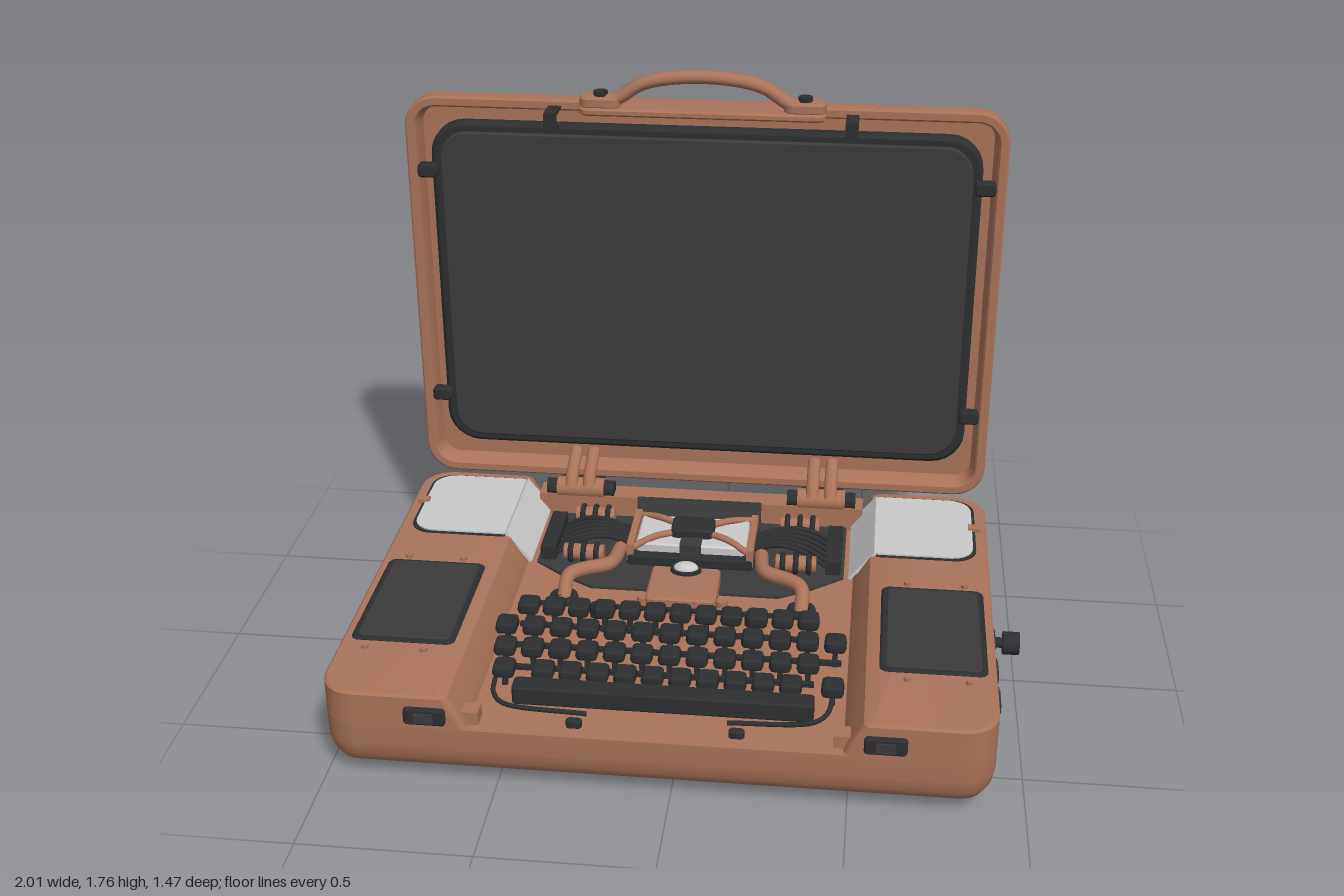
import * as THREE from 'three';
import { toCreasedNormals } from 'three/addons/utils/BufferGeometryUtils.js';

const mat = (name, color) => Object.assign(new THREE.MeshStandardMaterial({ color }), { name });
const SIDES = [-1, 1];

// Rounded rectangle ring in the xz plane; r lists the corners (+x+z, -x+z, -x-z, +x-z)
function ring(x0, x1, z0, z1, r, y) {
  const pts = [], n = 6;
  const corners = [[x1, z1, -1, -1], [x0, z1, 1, -1], [x0, z0, 1, 1], [x1, z0, -1, 1]];
  corners.forEach(([x, z, sx, sz], k) => {
    for (let i = 0; i <= n; i++) {
      const a = (k + i / n) * Math.PI / 2;
      pts.push([x + sx * r[k] + r[k] * Math.cos(a), y, z + sz * r[k] + r[k] * Math.sin(a)]);
    }
  });
  return pts;
}

// Closed solid through rings; steps are [height, inset, extra left inset, extra right inset]
function loft(x0, x1, z0, z1, r, steps) {
  const radii = Array.isArray(r) ? r : [r, r, r, r];
  const rings = steps.map(([y, d, l = 0, m = 0]) =>
    ring(x0 + d + l, x1 - d - m, z0 + d, z1 - d, radii.map(q => Math.max(q - d, 0.006)), y));
  const n = rings[0].length, pos = rings.flat(2), idx = [];
  const cx = (x0 + x1) / 2, cz = (z0 + z1) / 2, base = rings.length * n;
  pos.push(cx, steps[0][0], cz, cx, steps[steps.length - 1][0], cz);
  for (let i = 0; i < n; i++) {
    const j = (i + 1) % n;
    for (let k = 0; k < rings.length - 1; k++) {
      const p = k * n, q = p + n;
      idx.push(p + i, q + i, p + j, p + j, q + i, q + j);
    }
    idx.push(base, i, j, base + 1, base - n + j, base - n + i);
  }
  const g = new THREE.BufferGeometry();
  g.setAttribute('position', new THREE.Float32BufferAttribute(pos, 3));
  g.setIndex(idx);
  return toCreasedNormals(g, 0.6);
}

const slab = (w, d, h, r, e = 0.006) =>
  loft(-w / 2, w / 2, -d / 2, d / 2, r, [[-h / 2, e], [-h / 2 + e, 0], [h / 2 - e, 0], [h / 2, e]]);
const box = (w, h, d) => new THREE.BoxGeometry(w, h, d);
const cyl = (r, h, n = 24) => new THREE.CylinderGeometry(r, r, h, n);
const tube = (pts, r, n = 20) => new THREE.TubeGeometry(
  new THREE.CatmullRomCurve3(pts.map(p => new THREE.Vector3(...p))), n, r, 10);
function plan(pts, h) { // flat outline (x, z) raised by h
  const s = new THREE.Shape(pts.map(([x, z]) => new THREE.Vector2(x, -z)));
  return new THREE.ExtrudeGeometry(s, { depth: h, bevelEnabled: false }).rotateX(-Math.PI / 2);
}

export function createModel() {
  const root = new THREE.Group(), g = new THREE.Group();
  root.name = 'suitcaseTypewriter';
  g.name = 'machine';
  g.position.x = -0.045;
  root.add(g);
  const copper = mat('copper', 0xaa735a), dark = mat('charcoal', 0x3b3b3b);
  const black = mat('black', 0x2c2e30), silver = mat('silver', 0xc9c9c9);
  const H = Math.PI / 2;
  const add = (name, geo, m, x = 0, y = 0, z = 0, rx = 0, ry = 0, rz = 0) => {
    const mesh = new THREE.Mesh(geo, m);
    mesh.name = name;
    mesh.position.set(x, y, z);
    mesh.rotation.set(rx, ry, rz);
    g.add(mesh);
    return mesh;
  };

  // Case base: rounded tub with raised side decks
  add('baseTub', loft(-0.955, 0.955, -0.625, 0.71, 0.1,
    [[0.03, 0.09], [0.037, 0.06], [0.058, 0.028], [0.09, 0.008], [0.13, 0], [0.2, 0]]), copper);
  add('rearWall', box(1.1, 0.08, 0.08), copper, 0, 0.24, -0.585);
  for (const s of SIDES) {
    const out = 0.1, inn = 0.02;
    const r = s > 0 ? [out, inn, inn, out] : [inn, out, out, inn];
    const step = (y, d, k) => s > 0 ? [y, d, k, 0] : [y, d, 0, k];
    add('sideDeck', loft(s > 0 ? 0.53 : -0.955, s > 0 ? 0.955 : -0.53, -0.625, 0.71, r,
      [step(0.2, 0, 0), step(0.23, 0, 0.012), step(0.27, 0, 0.035), step(0.298, 0, 0.052), step(0.305, 0.007, 0.065)]), copper);

    // Silver rear covers that fold down toward the bay
    const cr = s > 0 ? [0.07, 0.006, 0.006, 0.07] : [0.006, 0.07, 0.07, 0.006];
    const cover = (a, b, z0, z1, y, h) => loft(Math.min(s * a, s * b), Math.max(s * a, s * b), z0, z1, cr, [[y, 0], [y + h, 0]]);
    add('coverSeam', cover(0.6, 0.918, -0.59, -0.195, 0.302, 0.006), black);
    add('coverTop', cover(0.6, 0.908, -0.58, -0.205, 0.305, 0.008), silver);
    add('coverSlope', box(0.128, 0.01, 0.375), silver, s * 0.558, 0.262, -0.3925, 0, 0, s * 0.9);
    add('coverLatch', box(0.04, 0.014, 0.03), copper, s * 0.915, 0.312, -0.4);

    // Deck pads with bolts
    add('padFrame', slab(0.31, 0.46, 0.014, 0.025), black, s * 0.775, 0.305, 0.215);
    add('pad', slab(0.28, 0.43, 0.012, 0.02), dark, s * 0.775, 0.311, 0.215);
    for (const u of [0.7, 0.875]) for (const z of [-0.04, 0.48])
      add('deckBolt', cyl(0.011, 0.012, 10), copper, s * u, 0.309, z);

    // Front latches, side screws, rear vents
    add('frontLatch', slab(0.12, 0.055, 0.024, 0.012), black, s * 0.645, 0.243, 0.712, H);
    add('latchButton', box(0.055, 0.03, 0.012), dark, s * 0.645, 0.243, 0.724);
    add('trayBracket', box(0.06, 0.05, 0.05), copper, s * 0.53, 0.215, 0.655);
    add('sideScrew', cyl(0.025, 0.016), black, s * 0.956, 0.185, -0.4, 0, 0, H);
    for (let i = 0; i < 5; i++)
      add('vent', box(0.016, 0.12, 0.008), black, s * (0.64 + i * 0.045), 0.185, -0.624);

    // Angled corner feet
    for (const t of SIDES) {
      const cz = t > 0 ? 0.6 : -0.43;
      const foot = [[0.83, 0], [0.83, 0.14], [0.78, 0.14], [0.78, 0.05], [0.69, 0.05], [0.69, 0]];
      const pts = foot.map(([x, z]) => [s * x, cz - t * z]);
      add('foot', plan(pts, 0.034), black);
      add('footScrew', cyl(0.016, 0.01, 12), black, s * 0.68, 0.028, cz - t * 0.15);
    }

    // Hinges
    const hx = s * 0.41;
    add('hingeBarrel', cyl(0.035, 0.16), copper, hx, 0.295, -0.575, 0, 0, H);
    add('hingePin', cyl(0.028, 0.23), black, hx, 0.295, -0.575, 0, 0, H);
    add('hingeLeaf', box(0.15, 0.03, 0.09), copper, hx, 0.277, -0.595);
    add('hingeBackPlate', box(0.1, 0.09, 0.02), copper, hx, 0.235, -0.632);
    add('hingeBackRod', cyl(0.022, 0.14), black, hx, 0.3, -0.635, 0, 0, H);
    for (const d of [-0.03, 0.03])
      add('hingeStrap', tube([[0, 0.31, -0.55], [0, 0.345, -0.575], [0, 0.365, -0.62], [0, 0.39, -0.675]], 0.018).scale(1.2, 1, 1), copper, hx + d);
  }

  // Lid shell, lying flat then turned upright (open toward the front)
  add('lidShell', loft(-0.95, 0.95, -1.64, -0.315, 0.1,
    [[-0.73, 0.06], [-0.724, 0.035], [-0.706, 0.012], [-0.68, 0.002], [-0.66, 0], [-0.622, 0],
      [-0.617, 0.006], [-0.617, 0.028], [-0.623, 0.034], [-0.68, 0.045]]).rotateX(H), copper);
  add('screenBezel', slab(1.75, 1.13, 0.05, 0.11, 0.012), black, 0, 0.99, -0.658, H);
  add('screen', slab(1.69, 1.07, 0.02, 0.09), dark, 0, 0.99, -0.633, H);
  for (const s of SIDES) {
    for (const y of [0.605, 1.395]) add('screenClip', slab(0.065, 0.045, 0.04, 0.012), black, s * 0.885, y, -0.63, H);
    add('topClip', box(0.04, 0.05, 0.008), black, s * 0.465, 1.595, -0.53);
    add('topClipArm', box(0.04, 0.008, 0.1), black, s * 0.465, 1.618, -0.575);
    add('topClipToe', box(0.04, 0.008, 0.045), black, s * 0.465, 1.572, -0.55);
  }
  add('discRing', cyl(0.175, 0.006, 48), copper, 0.005, 1.117, -0.731, H);
  add('backDisc', cyl(0.165, 0.014, 48), silver, 0.005, 1.117, -0.732, H);

  // Carry handle
  add('handlePlate', slab(0.76, 0.1, 0.024, 0.03), copper, 0.005, 1.632, -0.57);
  add('handleGrip', tube([[-0.35, 1.657, 0], [-0.27, 1.665, 0], [-0.18, 1.718, 0], [0, 1.742, 0],
    [0.18, 1.718, 0], [0.27, 1.665, 0], [0.35, 1.657, 0]], 0.021, 40).scale(1, 1, 1.35), copper, 0.005, 0, -0.565);
  for (const s of SIDES) {
    add('handleFoot', slab(0.13, 0.075, 0.035, 0.03), copper, 0.005 + s * 0.315, 1.658, -0.565);
    add('handleBolt', cyl(0.022, 0.016), black, 0.005 + s * 0.315, 1.682, -0.565);
  }

  // Right-hand socket panel and plug
  add('socketPanel', box(0.012, 0.1, 0.485), black, 0.955, 0.18, 0.2225);
  [0.38, 0.23, 0.07].forEach((z, i) => {
    add('socket', slab(0.1, 0.055, 0.02, 0.01), dark, 0.962, 0.18, z, H, 0, -H);
    if (i < 2) for (let k = -2; k <= 2; k++) add('socketSlot', box(0.006, 0.03, 0.008), black, 0.972, 0.18, z + k * 0.016);
  });
  add('plugStem', cyl(0.016, 0.05), black, 0.985, 0.18, 0.065, 0, 0, H);
  add('plug', cyl(0.035, 0.05, 12), black, 1.02, 0.18, 0.065, 0, 0, H);

  // Rear lens plate
  add('lensPlate', slab(0.24, 0.15, 0.02, 0.03), black, 0, 0.155, -0.628, -H);
  add('lensRing', new THREE.TorusGeometry(0.04, 0.01, 10, 28), copper, 0, 0.155, -0.638);
  add('lens', cyl(0.024, 0.014), copper, 0, 0.155, -0.638, H);

  // Engine bay
  add('bayFloor', plan([[-0.5, -0.545], [-0.5, -0.22], [-0.4, -0.14], [-0.3, -0.08], [0.3, -0.08],
    [0.4, -0.14], [0.5, -0.22], [0.5, -0.545]], 0.008), dark, 0, 0.2, 0);
  add('bayScreen', box(0.42, 0.09, 0.02), dark, 0, 0.245, -0.525, -0.3);
  add('engineBase', slab(0.42, 0.25, 0.04, 0.02), black, 0, 0.225, -0.35);
  add('engineBlock', slab(0.36, 0.19, 0.05, 0.015), silver, 0, 0.25, -0.35);
  add('engineBand', box(0.07, 0.055, 0.21), dark, 0, 0.252, -0.35);
  add('engineCap', slab(0.14, 0.1, 0.04, 0.02), black, 0, 0.285, -0.35);
  for (const s of SIDES) {
    add('engineEndBar', box(0.022, 0.06, 0.24), copper, s * 0.195, 0.25, -0.35);
    for (const t of SIDES) {
      add('engineBrace', tube([[s * 0.06, 0.285, -0.35 + t * 0.03], [s * 0.12, 0.285, -0.35 + t * 0.065], [s * 0.19, 0.265, -0.35 + t * 0.11]], 0.011), copper);
      const z = -0.355 + t * 0.125;
      add('coilBody', cyl(0.026, 0.13), copper, s * 0.345, 0.245, z, 0, 0, H);
      for (let i = -1; i <= 1; i++) add('coilRing', new THREE.TorusGeometry(0.028, 0.009, 8, 18), black, s * 0.345 + i * 0.042, 0.245, z, 0, H);
    }
    for (let i = 0; i < 6; i++) {
      const k = i - 2.5;
      add('wire', tube([[s * 0.2, 0.245, -0.35 + k * 0.018], [s * 0.29, 0.27, -0.35 + k * 0.022],
        [s * 0.37, 0.26, -0.35 + k * 0.03], [s * 0.45, 0.215, -0.35 + k * 0.036]], 0.008, 12), black);
    }
    add('wireBlock', box(0.05, 0.05, 0.24), black, s * 0.465, 0.23, -0.35);
    add('pipe', tube([[s * 0.23, 0.245, -0.27], [s * 0.25, 0.25, -0.16], [s * 0.33, 0.25, -0.115],
      [s * 0.37, 0.245, -0.08], [s * 0.375, 0.2, -0.015]], 0.023, 30), copper);
    add('pipeCollar', new THREE.TorusGeometry(0.033, 0.013, 10, 24), black, s * 0.375, 0.206, -0.012, H);
    for (const u of [0.32, 0.43]) add('trayBolt', cyl(0.011, 0.012, 10), copper, s * u, 0.205, 0.04);
    add('housingEar', cyl(0.018, 0.02, 16), copper, s * 0.125, 0.21, -0.02);
  }

  // Indicator housing in front of the engine
  add('housing', slab(0.22, 0.2, 0.06, 0.015), copper, 0, 0.225, -0.055);
  add('lampRing', cyl(0.05, 0.016).scale(1, 1, 0.72), black, 0, 0.258, -0.13);
  add('lamp', new THREE.SphereGeometry(0.04, 20, 12).scale(1, 0.5, 0.7), silver, 0, 0.265, -0.13);

  // Keyboard: stepped rows of keys on stems and rails
  const keyGeo = loft(-0.033, 0.033, -0.035, 0.035, 0.016, [[-0.035, 0.004], [-0.025, 0], [-0.006, 0.003], [0, 0.01]]);
  const stemGeo = box(0.016, 0.08, 0.016);
  const key = (x, y, z) => {
    add('key', keyGeo, black, x, y, z);
    add('keyStem', stemGeo, black, x, y - 0.06, z);
  };
  const rows = [[12, -0.447, 0.405, 0.175, 0.308], [13, -0.495, 0.49, 0.275, 0.299],
    [12, -0.48, 0.415, 0.375, 0.288], [10, -0.35, 0.37, 0.47, 0.276]];
  for (const [n, a, b, z, y] of rows) {
    for (let i = 0; i < n; i++) key(a + (b - a) * i / (n - 1), y, z);
    add('keyRail', box(b - a + 0.04, 0.014, 0.014), black, (a + b) / 2, y - 0.06, z + 0.045);
  }
  for (const x of [-0.465, 0.49]) key(x, 0.276, 0.47);
  add('spaceBar', slab(0.86, 0.062, 0.06, 0.012), black, 0.012, 0.255, 0.577);
  add('backRail', box(0.86, 0.012, 0.012), black, -0.02, 0.26, 0.115);
  for (const s of SIDES) {
    add('spaceBarArm', tube([[s * 0.49, 0.23, 0.49], [s * 0.48, 0.23, 0.56], [s * 0.44, 0.23, 0.61], [s * 0.2, 0.215, 0.615]], 0.007), black);
    add('backPost', slab(0.07, 0.035, 0.05, 0.015), black, s * 0.24, 0.225, 0.085);
    add('frontPost', slab(0.045, 0.025, 0.03, 0.01), black, s * 0.23, 0.212, 0.658);
    add('backRailEnd', box(0.012, 0.06, 0.05), black, s * 0.43 - 0.02, 0.235, 0.13);
  }
  return root;
}
